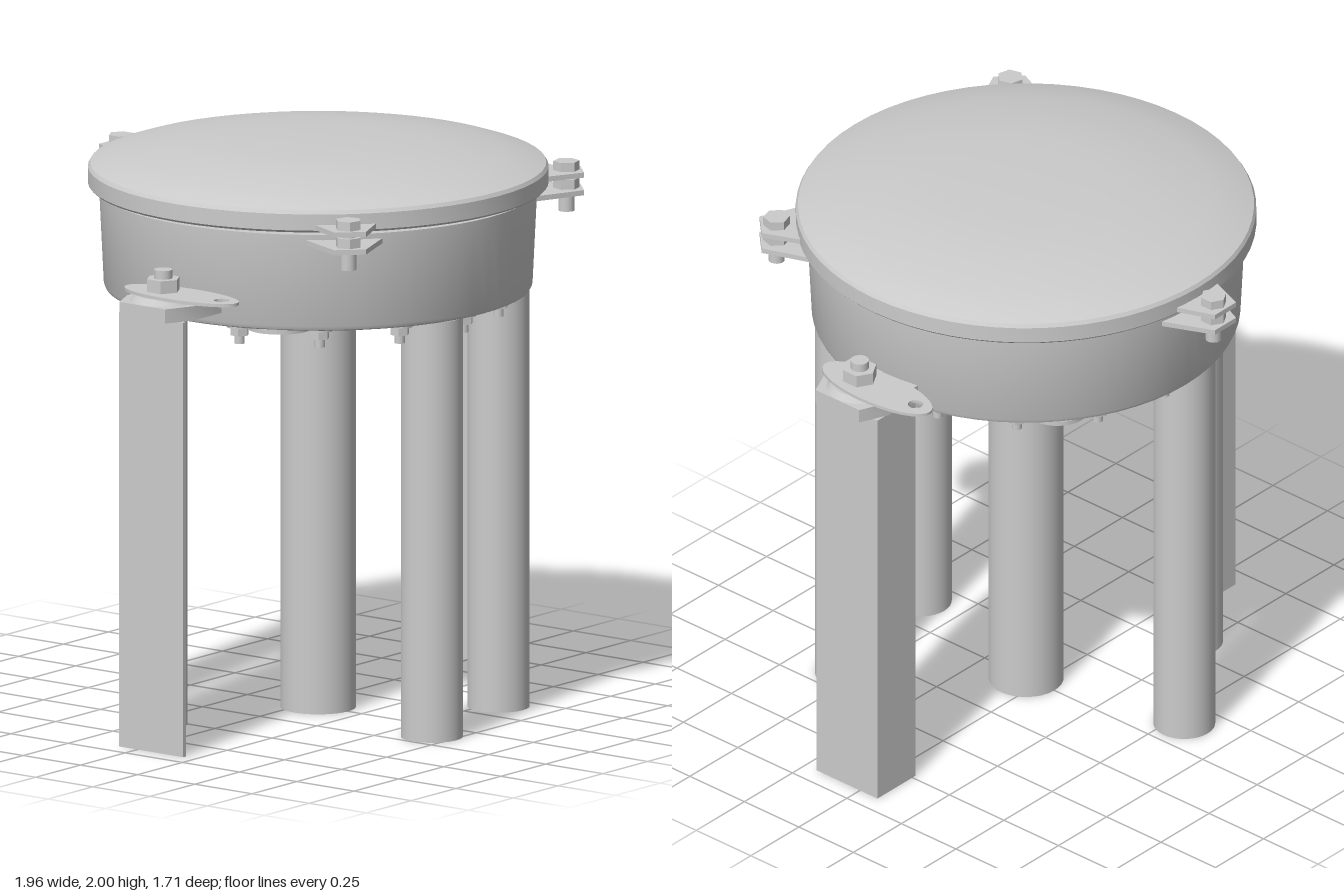
import * as THREE from 'three';
import { toCreasedNormals } from 'three/addons/utils/BufferGeometryUtils.js';

const smooth = new THREE.MeshStandardMaterial({ color: 0xcccccc });
const flat = new THREE.MeshStandardMaterial({ color: 0xcccccc, flatShading: true });
const open = new THREE.MeshStandardMaterial({ color: 0xcccccc, side: THREE.DoubleSide });

function add(parent, name, geometry, material, x = 0, y = 0, z = 0) {
  const mesh = new THREE.Mesh(geometry, material);
  mesh.name = name;
  mesh.position.set(x, y, z);
  parent.add(mesh);
  return mesh;
}

function group(parent, name, turn = 0) {
  const g = new THREE.Group();
  g.name = name;
  g.rotation.y = turn;
  parent.add(g);
  return g;
}

// Upright cylinder or hexagon standing between two heights
function post(parent, name, x, z, y0, y1, r, sides = 24, rTop = r) {
  const geo = new THREE.CylinderGeometry(rTop, r, y1 - y0, sides);
  return add(parent, name, geo, sides < 10 ? flat : smooth, x, (y0 + y1) / 2, z);
}

// Horizontal plate from a shape drawn in x and z
function plate(parent, name, shape, y0, y1) {
  const geo = new THREE.ExtrudeGeometry(shape, { depth: y1 - y0, bevelEnabled: false, curveSegments: 20 });
  geo.rotateX(Math.PI / 2);
  return add(parent, name, toCreasedNormals(geo, 0.6), smooth, 0, y1, 0);
}

function polygon(points) {
  return new THREE.Shape(points.map(([x, z]) => new THREE.Vector2(x, z)));
}

function lathe(parent, name, points) {
  const geo = new THREE.LatheGeometry(points.map(([r, y]) => new THREE.Vector2(r, y)), 64);
  return add(parent, name, toCreasedNormals(geo, 0.4), smooth);
}

// Trapezoid tab reaching outward along +z
function tab(parent, name, inner, halfInner, y0, y1) {
  const shape = polygon([[-halfInner, inner], [halfInner, inner], [0.055, 0.915], [-0.055, 0.915]]);
  return plate(parent, name, shape, y0, y1);
}

export function createModel() {
  const model = new THREE.Group();
  model.name = 'cableClosure';
  const core = group(model, 'assembly');
  core.position.z = 0.06;

  // Domed lid and shallow round housing, with a narrow gap between
  lathe(core, 'lid', [[0, 1.84], [0.785, 1.84], [0.793, 1.848], [0.793, 1.905], [0.785, 1.918],
    [0.72, 1.94], [0.64, 1.958], [0.5, 1.98], [0.4, 1.991], [0.28, 1.998], [0, 2]]);
  lathe(core, 'housing', [[0, 1.48], [0.72, 1.48], [0.732, 1.485], [0.738, 1.498],
    [0.754, 1.825], [0, 1.825]]);

  // Central pipe with its collar
  post(core, 'centreCollar', 0, 0, 1.455, 1.481, 0.21, 12);
  add(core, 'centrePipe', new THREE.CylinderGeometry(0.13, 0.13, 1.48, 32, 1, true), open, 0, 0.74, 0);

  // Seven ports in a ring: four carry pipes, three are blanked
  const step = (Math.PI * 2) / 7;
  for (let i = 0; i < 7; i++) {
    const x = 0.62 * Math.cos(i * step);
    const z = 0.62 * Math.sin(i * step);
    if ([1, 2, 4, 5].includes(i)) {
      add(core, 'outerPipe', new THREE.CylinderGeometry(0.107, 0.107, 1.48, 32, 1, true), open, x, 0.74, z);
    } else {
      post(core, 'blankingCap', x, z, 1.465, 1.481, 0.11, 32);
    }
  }

  // Bolts under the housing, two for each port
  for (let i = 0; i < 14; i++) {
    const a = (i + 0.5) * step / 2;
    const x = 0.635 * Math.cos(a);
    const z = 0.635 * Math.sin(a);
    post(core, 'baseWasher', x, z, 1.463, 1.481, 0.045, 16);
    post(core, 'baseNut', x, z, 1.435, 1.463, 0.034, 6);
    post(core, 'baseBolt', x, z, 1.405, 1.435, 0.018, 12);
  }

  // Three clamps holding the lid
  for (const turn of [Math.PI, Math.PI / 4, -Math.PI / 4]) {
    const clamp = group(core, 'lidClamp', turn);
    tab(clamp, 'lidTab', 0.77, 0.11, 1.85, 1.868);
    tab(clamp, 'housingTab', 0.735, 0.135, 1.788, 1.806);
    post(clamp, 'clampBolt', 0, 0.86, 1.725, 1.87, 0.028, 16);
    post(clamp, 'clampBoltHead', 0, 0.86, 1.868, 1.9, 0.046, 6);
    post(clamp, 'clampNut', 0, 0.86, 1.806, 1.84, 0.046, 6);
  }

  // Side brackets, each with a bolted lug; the second is turned half round
  for (const turn of [0, Math.PI]) {
    const bracket = group(core, 'sideBracket', turn);
    plate(bracket, 'bracketPlate', polygon([[0.72, -0.145], [0.88, -0.145], [0.982, -0.1],
      [0.982, 0.1], [0.88, 0.145], [0.72, 0.145]]), 1.53, 1.58);
    post(bracket, 'bracketWasher', 0.865, 0, 1.58, 1.602, 0.115, 32, 0.1);
    const lug = new THREE.Shape();
    lug.absellipse(0.87, -0.085, 0.09, 0.24, 0, Math.PI * 2);
    const hole = new THREE.Path();
    hole.absarc(0.865, -0.255, 0.026, 0, Math.PI * 2, true);
    lug.holes.push(hole);
    plate(bracket, 'lug', lug, 1.602, 1.613);
    post(bracket, 'lugNut', 0.865, 0, 1.613, 1.658, 0.06, 6);
    post(bracket, 'lugBolt', 0.865, 0, 1.658, 1.688, 0.032, 16);
  }

  // Angle-section legs, mirrored
  for (const s of [1, -1]) {
    const leg = group(core, s > 0 ? 'leftLeg' : 'rightLeg');
    add(leg, 'legOuterFlange', new THREE.BoxGeometry(0.016, 1.53, 0.28), flat, s * 0.924, 0.765, 0);
    add(leg, 'legRearFlange', new THREE.BoxGeometry(0.184, 1.53, 0.016), flat, s * 0.827, 0.765, -0.132);
  }

  return model;
}
